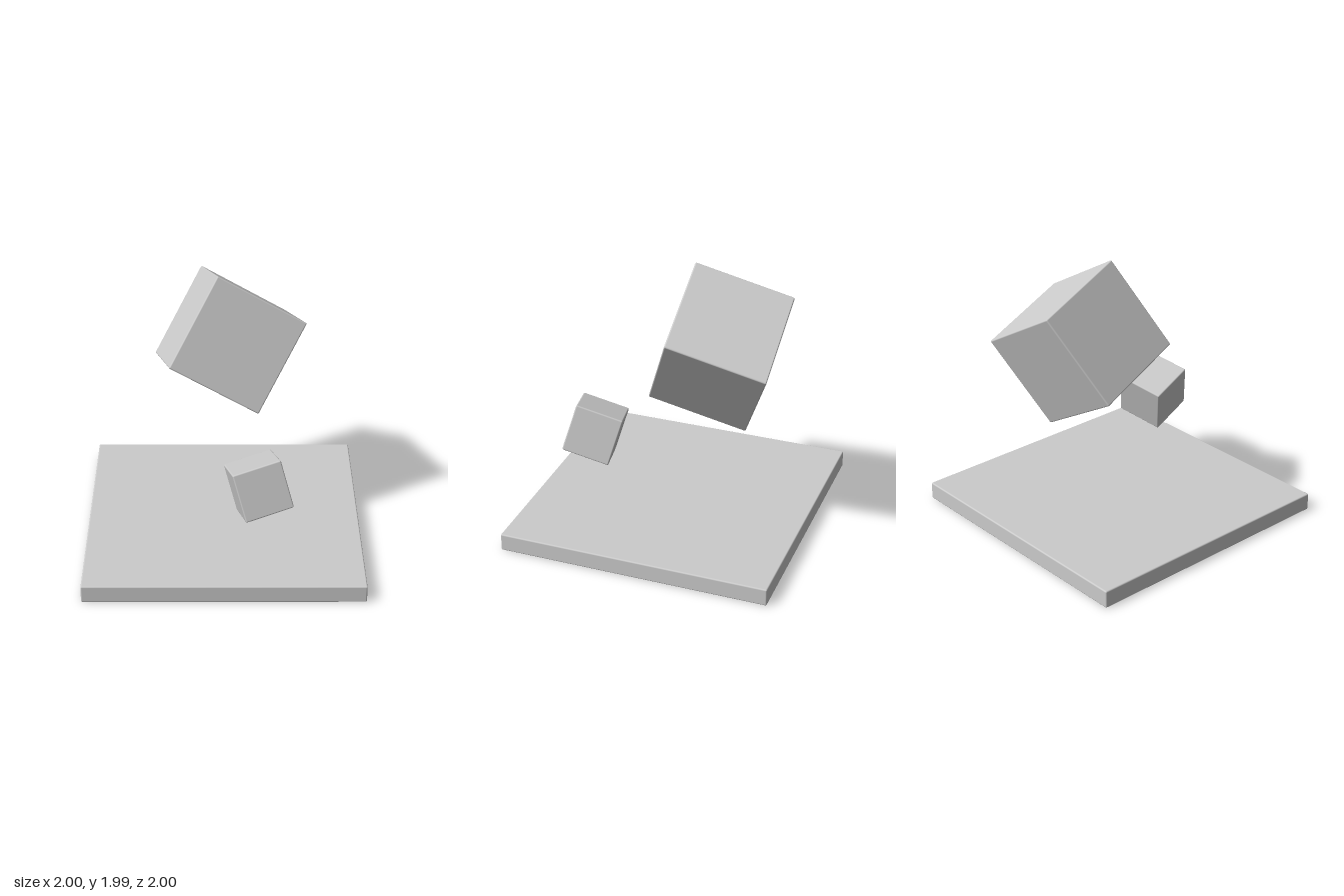
import * as THREE from 'three';
import { RoundedBoxGeometry } from 'three/addons/geometries/RoundedBoxGeometry.js';

export function createModel() {
  const group = new THREE.Group();
  const material = new THREE.MeshStandardMaterial({ color: 0xcccccc });
  const deg = THREE.MathUtils.degToRad;

  // Box with slightly softened edges, rotated by degrees
  function addBox(name, size, position, angles = [0, 0, 0], order = 'XYZ') {
    const mesh = new THREE.Mesh(new RoundedBoxGeometry(...size, 3, 0.01), material);
    mesh.name = name;
    mesh.position.set(...position);
    mesh.rotation.set(...angles.map(deg), order);
    group.add(mesh);
  }

  // Flat square slab on the ground
  addBox('floorSlab', [2, 0.13, 2], [0, 0.065, 0]);

  // Two tumbling cubes above it
  addBox('largeCube', [0.734, 0.734, 0.734], [0.04, 1.405, -0.325], [-20, 0, -30], 'ZXY');
  addBox('smallCube', [0.354, 0.354, 0.354], [0.243, 0.687, 0.562], [-17, 10, 16]);

  return group;
}
